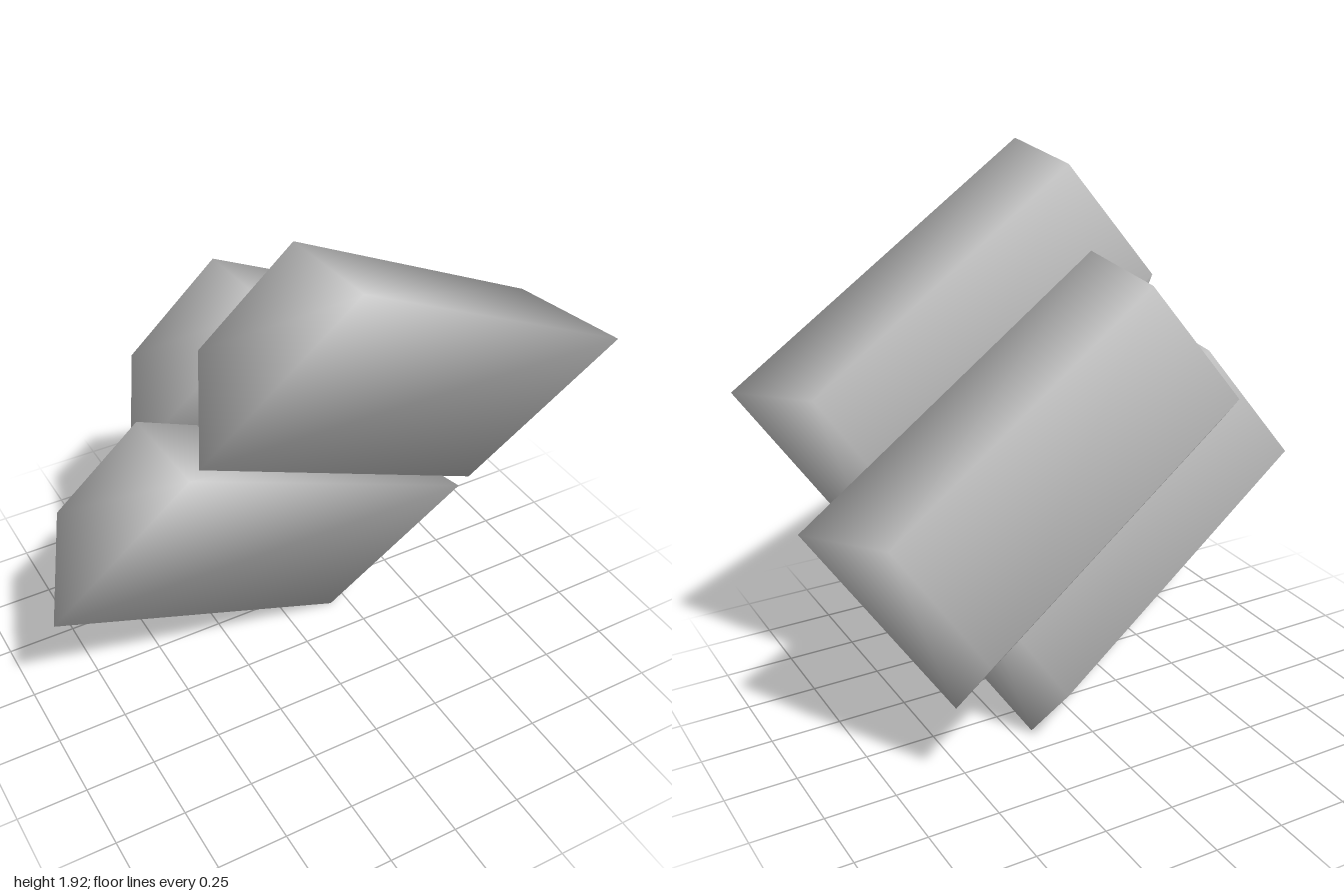
import * as THREE from 'three';

const LENGTH = 1.38, WIDTH = 0.76, DEPTH = 0.345;

// Tapered bar: the large face lies on local z = 0, the small face at -DEPTH
function barGeometry() {
  const geometry = new THREE.BoxGeometry(LENGTH, WIDTH, DEPTH);
  geometry.translate(0, 0, -DEPTH / 2);
  const pos = geometry.attributes.position;
  for (let i = 0; i < pos.count; i++) {
    if (pos.getZ(i) < -DEPTH / 2) {
      pos.setX(i, pos.getX(i) * 0.875);
      pos.setY(i, pos.getY(i) * 0.625);
    }
  }
  // Flat face normals first, then average the three faces at each corner
  geometry.computeVertexNormals();
  const normal = geometry.attributes.normal;
  const sums = new Map();
  const key = (i) => [pos.getX(i), pos.getY(i), pos.getZ(i)].map((v) => v.toFixed(3)).join();
  for (let i = 0; i < pos.count; i++) {
    if (!sums.has(key(i))) sums.set(key(i), new THREE.Vector3());
    sums.get(key(i)).add(new THREE.Vector3().fromBufferAttribute(normal, i));
  }
  sums.forEach((n) => n.normalize());
  for (let i = 0; i < pos.count; i++) {
    const n = sums.get(key(i));
    normal.setXYZ(i, n.x, n.y, n.z);
  }
  return geometry;
}

export function createModel() {
  const group = new THREE.Group();
  group.name = 'stackedBars';
  const grey = new THREE.MeshStandardMaterial({ color: 0xbcbcbc });
  grey.name = 'grey';

  // Shared tilt of all bars
  const front = new THREE.Vector3(0, -0.37, 0.93).normalize();
  const along = new THREE.Vector3(0.855, -0.48, -0.195).normalize();
  const up = new THREE.Vector3().crossVectors(front, along).normalize();
  along.crossVectors(up, front);
  const tilt = new THREE.Matrix4().makeBasis(along, up, front);

  // Centre of each bar's large face
  const bars = {
    upperFrontBar: [0.21, 1.285, 0.375],
    upperBackBar: [0.19, 0.985, -0.125],
    lowerFrontBar: [-0.21, 0.635, 0.115],
  };
  const geometry = barGeometry();
  for (const [name, centre] of Object.entries(bars)) {
    const bar = new THREE.Mesh(geometry, grey);
    bar.name = name;
    bar.quaternion.setFromRotationMatrix(tilt);
    bar.position.set(...centre);
    group.add(bar);
  }
  return group;
}
